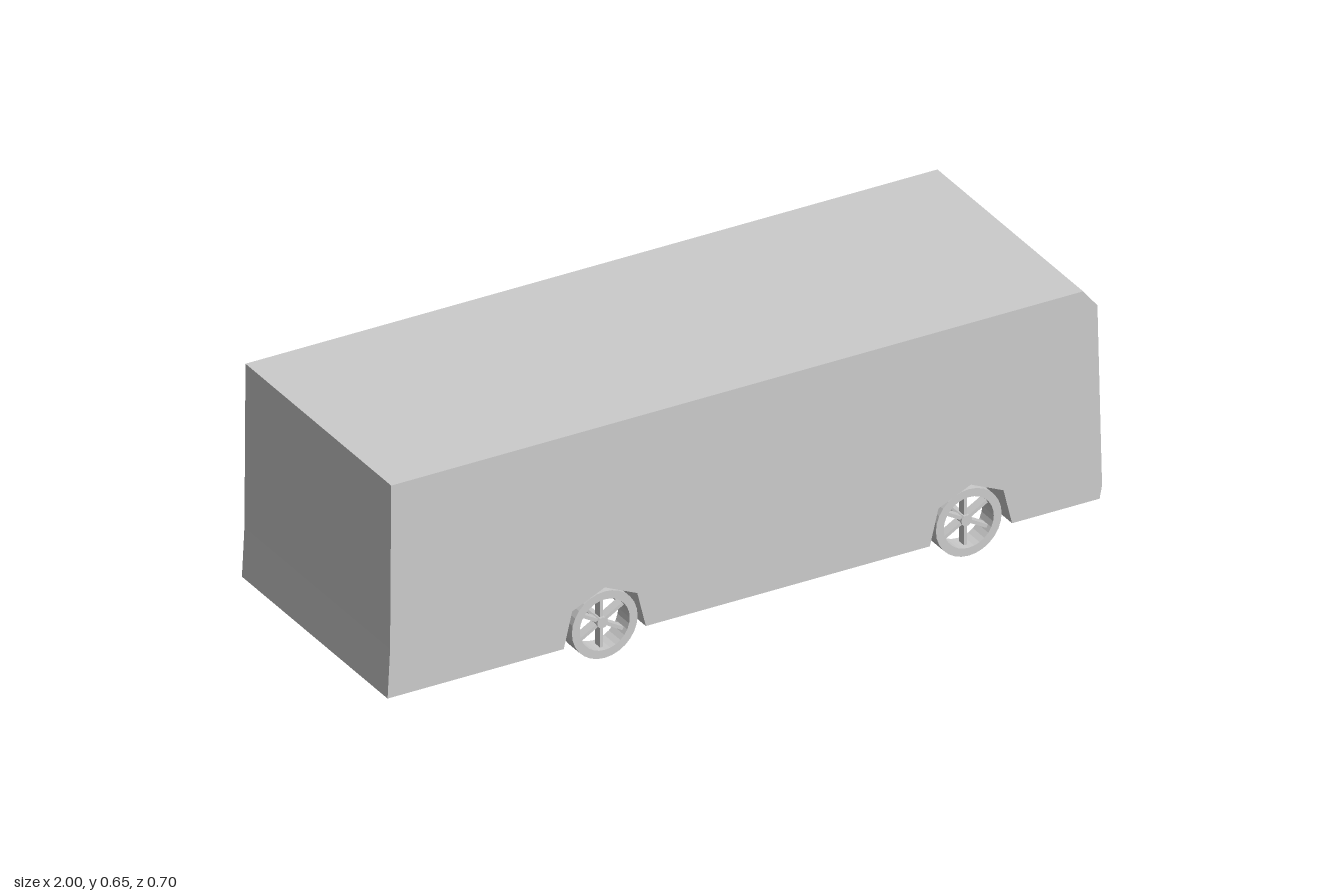
import * as THREE from 'three';

const material = new THREE.MeshStandardMaterial({ color: 0xcccccc, flatShading: true });
const WHEEL_R = 0.092, RIM_R = 0.07, WHEEL_W = 0.056;

function addMesh(parent, name, geometry) {
  const mesh = new THREE.Mesh(geometry, material);
  mesh.name = name;
  parent.add(mesh);
  return mesh;
}

// Side profile with two angular wheel arches, extruded across the full width
function makeBody() {
  const arch = (cx) => [[-0.115, 0.065], [-0.091, 0.163], [0, 0.204], [0.091, 0.163], [0.115, 0.065]]
    .map(([x, y]) => [cx + x, y]);
  const outline = [
    [-1, 0.065], ...arch(-0.392), ...arch(0.633),
    [0.993, 0.065], [1, 0.1], [0.987, 0.602], [0.947, 0.652], [-0.99, 0.652], [-0.993, 0.2],
  ];
  const shape = new THREE.Shape(outline.map(([x, y]) => new THREE.Vector2(x, y)));
  const geometry = new THREE.ExtrudeGeometry(shape, { depth: 0.704, bevelEnabled: false });
  return geometry.translate(0, 0, -0.352);
}

// Open ring wheel with six thin spokes and a small hub
function makeWheel(name) {
  const wheel = new THREE.Group();
  wheel.name = name;
  const h = WHEEL_W / 2;
  const section = [[RIM_R, -h], [WHEEL_R, -h], [WHEEL_R, h], [RIM_R, h], [RIM_R, -h]]
    .map(([r, y]) => new THREE.Vector2(r, y));
  addMesh(wheel, 'tyre', new THREE.LatheGeometry(section, 28).rotateX(Math.PI / 2));
  addMesh(wheel, 'hub', new THREE.CylinderGeometry(0.015, 0.015, 0.036, 12).rotateX(Math.PI / 2));
  for (let i = 0; i < 6; i++) {
    const spoke = new THREE.BoxGeometry(0.009, RIM_R - 0.008, 0.025);
    spoke.translate(0, RIM_R / 2 + 0.004, 0).rotateZ((i * Math.PI) / 3);
    addMesh(wheel, 'spoke', spoke);
  }
  return wheel;
}

export function createModel() {
  const bus = new THREE.Group();
  bus.name = 'bus';
  addMesh(bus, 'body', makeBody());

  // Two wheels and an axle in each arch
  for (const [end, x] of [['rear', -0.384], ['front', 0.635]]) {
    for (const [side, z] of [['Near', 0.31], ['Far', -0.292]]) {
      const wheel = makeWheel(`${end}${side}Wheel`);
      wheel.position.set(x, WHEEL_R, z);
      bus.add(wheel);
    }
    const axle = new THREE.CylinderGeometry(0.012, 0.012, 0.6, 12).rotateX(Math.PI / 2);
    addMesh(bus, `${end}Axle`, axle).position.set(x, WHEEL_R, 0.009);
  }
  return bus;
}
